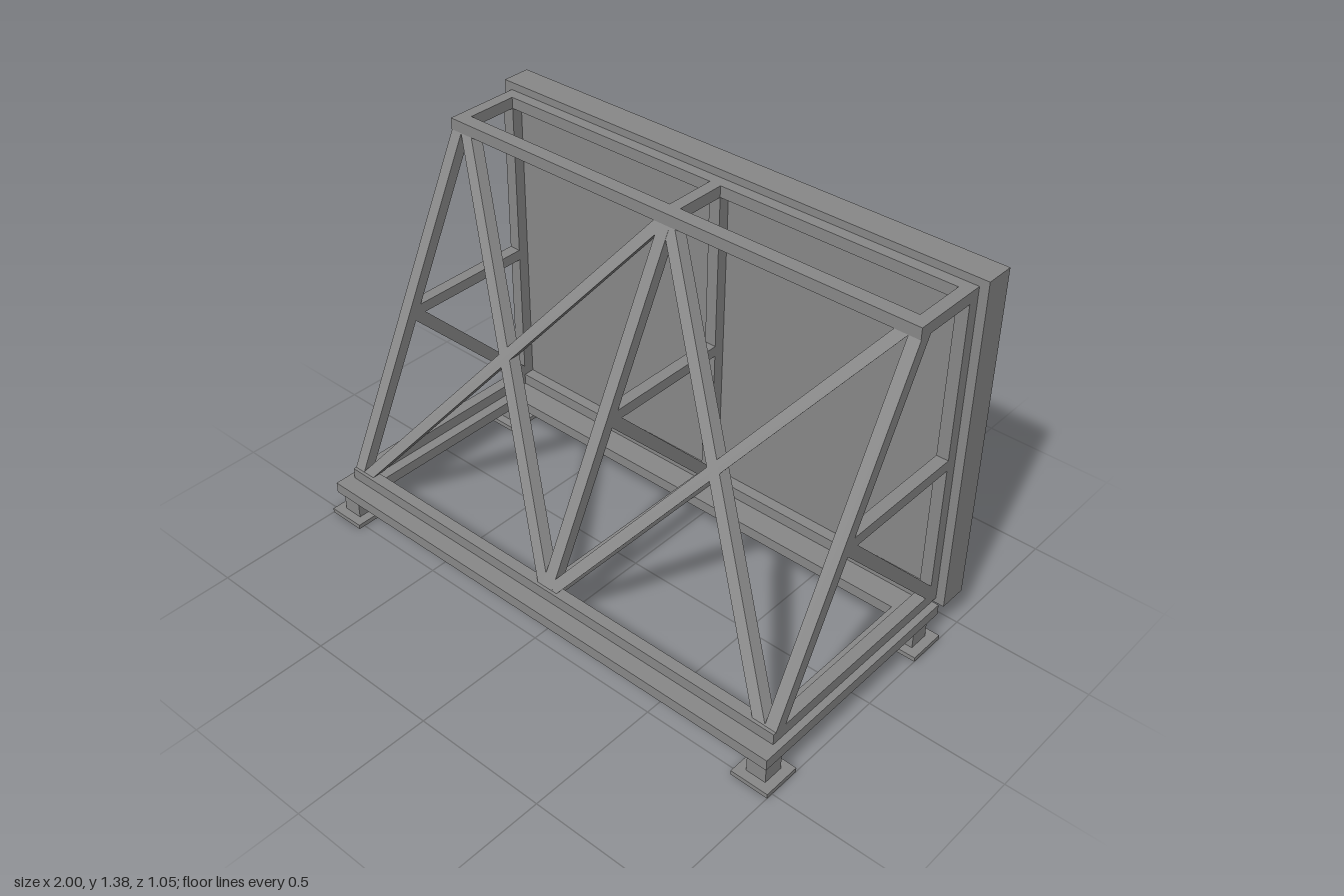
import * as THREE from 'three';

const material = new THREE.MeshStandardMaterial({ color: 0x888888, flatShading: true });

export function createModel() {
  const model = new THREE.Group();
  model.name = 'framedPanelOnTrussStand';

  const add = (parent, name, geometry) => {
    const mesh = new THREE.Mesh(geometry, material);
    mesh.name = name;
    parent.add(mesh);
    return mesh;
  };

  // Box given by its lower and upper limits on each axis
  const box = (parent, name, x0, x1, y0, y1, z0, z1) => {
    const mesh = add(parent, name, new THREE.BoxGeometry(x1 - x0, y1 - y0, z1 - z0));
    mesh.position.set((x0 + x1) / 2, (y0 + y1) / 2, (z0 + z1) / 2);
    return mesh;
  };

  // Slanted bar with level ends, running from a to b, w wide along the level ends
  const bar = (parent, name, a, b, w, depth) => {
    const h = w / 2;
    const shape = new THREE.Shape([
      new THREE.Vector2(a[0] - h, a[1]), new THREE.Vector2(a[0] + h, a[1]),
      new THREE.Vector2(b[0] + h, b[1]), new THREE.Vector2(b[0] - h, b[1]),
    ]);
    const geometry = new THREE.ExtrudeGeometry(shape, { depth, bevelEnabled: false });
    geometry.translate(0, 0, -depth / 2);
    return add(parent, name, geometry);
  };

  // Display panel: solid body with a raised rim around the back face
  const panel = new THREE.Group();
  panel.name = 'panel';
  model.add(panel);
  box(panel, 'panelBody', -0.986, 0.986, 0.118, 1.378, -0.485, -0.418);
  const rimShape = new THREE.Shape([
    new THREE.Vector2(-0.986, 0.118), new THREE.Vector2(0.986, 0.118),
    new THREE.Vector2(0.986, 1.378), new THREE.Vector2(-0.986, 1.378),
  ]);
  rimShape.holes.push(new THREE.Path([
    new THREE.Vector2(-0.944, 0.16), new THREE.Vector2(-0.944, 1.336),
    new THREE.Vector2(0.944, 1.336), new THREE.Vector2(0.944, 0.16),
  ]));
  const rim = add(panel, 'panelRim', new THREE.ExtrudeGeometry(rimShape, { depth: 0.04, bevelEnabled: false }));
  rim.position.z = -0.525;

  // Flat base frame
  const base = new THREE.Group();
  base.name = 'base';
  model.add(base);
  box(base, 'baseFrontBeam', -0.98, 0.98, 0.097, 0.138, 0.393, 0.51);
  box(base, 'baseBackBeam', -0.98, 0.98, 0.097, 0.138, -0.395, -0.285);
  for (const s of [-1, 1]) {
    const side = box(base, 'baseSideBeam', -0.055, 0.055, 0.097, 0.138, -0.285, 0.393);
    side.position.x = s * 0.925;
  }

  // Four feet: pad and short column
  for (const x of [-0.929, 0.929]) {
    for (const z of [-0.32, 0.453]) {
      const foot = new THREE.Group();
      foot.name = 'foot';
      foot.position.set(x, 0, z);
      model.add(foot);
      box(foot, 'footPad', -0.071, 0.071, 0, 0.017, -0.071, 0.071);
      box(foot, 'footColumn', -0.037, 0.037, 0.017, 0.097, -0.038, 0.038);
    }
  }

  // Three upright side trusses
  const low = 0.18, high = 1.308;
  const legFoot = 0.412, legTop = -0.155;
  for (const x of [-0.932, 0, 0.932]) {
    const truss = new THREE.Group();
    truss.name = 'sideTruss';
    truss.position.x = x;
    model.add(truss);
    const r = 0.022;
    box(truss, 'bottomChord', -r, r, 0.138, low, -0.418, 0.447);
    box(truss, 'topChord', -r, r, high, 1.35, -0.418, -0.129);
    box(truss, 'post', -r, r, low, high, -0.418, -0.376);
    box(truss, 'middleBrace', -r, r, 0.696, 0.736, -0.376, 0.13);
    // Bars are drawn in the z-y plane, then turned to lie along x
    for (const [name, a, b, w] of [
      ['slantedLeg', [legFoot, low], [legTop, high], 0.047],
      ['diagonalBrace', [-0.382, low], [0.121, 0.696], 0.062],
    ]) bar(truss, name, a, b, w, 2 * r).rotation.y = -Math.PI / 2;
  }

  // Long rails joining the trusses, between neighbouring chords
  for (const s of [-1, 1]) {
    const x0 = s < 0 ? -0.91 : 0.022;
    const x1 = s < 0 ? -0.022 : 0.91;
    for (const [name, y, z0, z1] of [
      ['frontBottomRail', 0.138, 0.404, 0.447], ['backBottomRail', 0.138, -0.418, -0.376],
      ['frontTopRail', high, -0.182, -0.129], ['backTopRail', high, -0.418, -0.376],
    ]) box(model, name, x0, x1, y, y + 0.042, z0, z1);
  }

  // Crossed braces, sheared in depth so they lean with the slanted legs
  const lean = (legTop - legFoot) / (high - low);
  const shear = new THREE.Matrix4().set(1, 0, 0, 0, 0, 1, 0, 0, 0, lean, 1, legFoot - lean * low, 0, 0, 0, 1);
  for (const s of [-1, 1]) {
    for (const [x0, x1] of [[0.887, 0.018], [0.018, 0.887]]) {
      bar(model, 'crossBrace', [s * x0, low], [s * x1, high], 0.05, 0.046).geometry.applyMatrix4(shear);
    }
  }

  return model;
}
